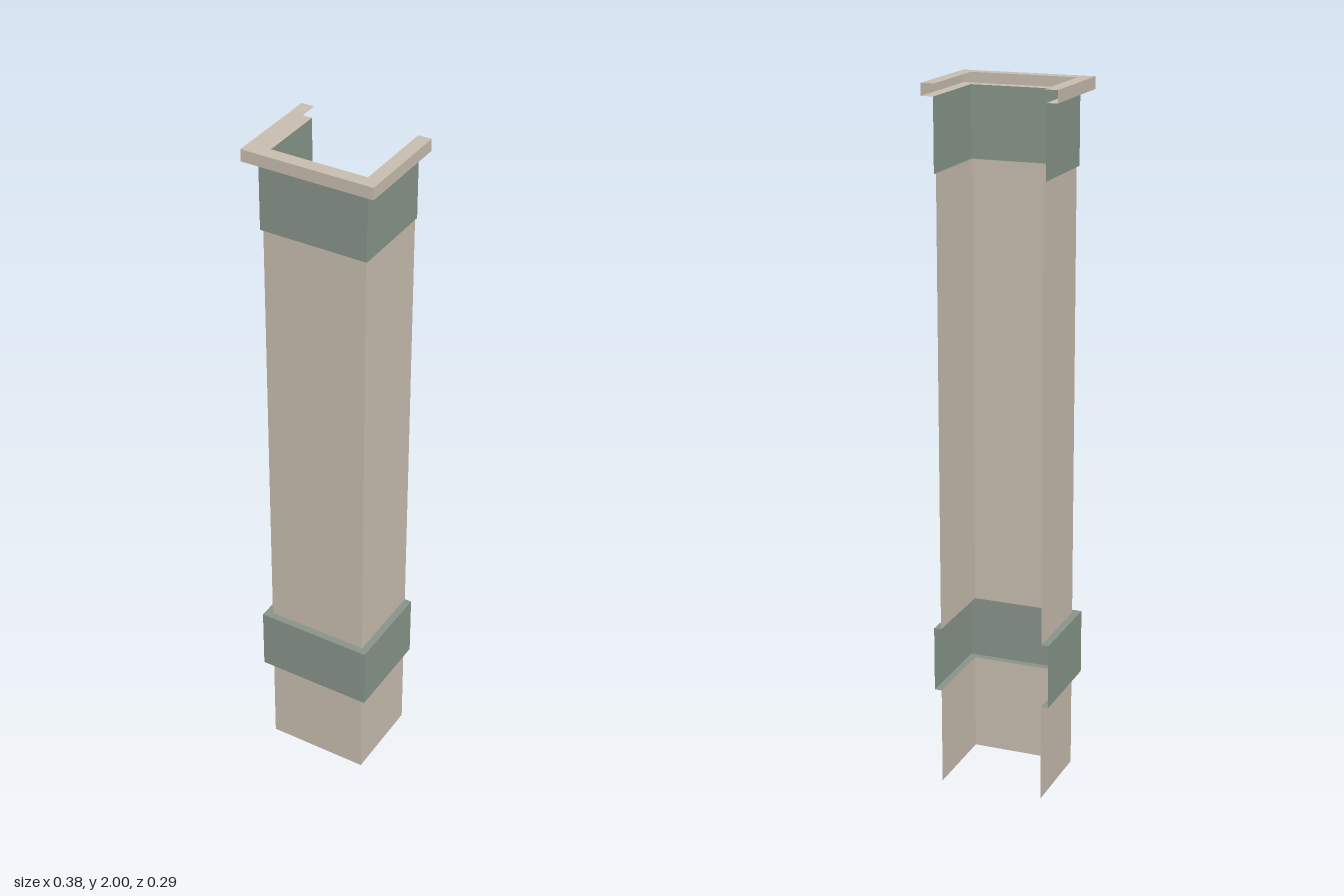
import * as THREE from 'three';

const BACK = -0.144;
const tan = new THREE.MeshStandardMaterial({ color: 0xc8beb0, side: THREE.DoubleSide });
tan.name = 'warm stone';
const green = new THREE.MeshStandardMaterial({ color: 0x88958a, side: THREE.DoubleSide });
green.name = 'grey green';

// Three-sided path, open at the back: half width, front depth, x shift
const SHAFT = [0.151, 0.107, -0.002];
const LOWER = [0.172, 0.128, -0.002];
const UPPER = [0.157, 0.113, -0.002];
const CAP = [0.19, 0.145, 0];
const CAP_INNER = [0.152, 0.107, 0];

function pathAt([w, front, shift], y) {
  return [[-w, BACK], [-w, front], [w, front], [w, BACK]]
    .map(([x, z]) => [x + shift, y, z]);
}

// Thin shell swept around the path, with the profile listed as [outline, height]
function shell(name, material, profile) {
  const rings = profile.map(([outline, y]) => pathAt(outline, y));
  const pos = [];
  for (let j = 0; j < rings.length - 1; j++) {
    for (let i = 0; i < 3; i++) {
      const a = rings[j][i], b = rings[j][i + 1];
      const c = rings[j + 1][i + 1], d = rings[j + 1][i];
      pos.push(...a, ...b, ...c, ...a, ...c, ...d);
    }
  }
  const geo = new THREE.BufferGeometry();
  geo.setAttribute('position', new THREE.Float32BufferAttribute(pos, 3));
  geo.computeVertexNormals();
  const mesh = new THREE.Mesh(geo, material);
  mesh.name = name;
  return mesh;
}

export function createModel() {
  const column = new THREE.Group();
  column.name = 'column';
  column.add(
    shell('base', tan, [[SHAFT, 0], [SHAFT, 0.284]]),
    // Lower band with ledges above and below
    shell('lowerBand', green, [[SHAFT, 0.284], [LOWER, 0.284], [LOWER, 0.472], [SHAFT, 0.472]]),
    shell('shaft', tan, [[SHAFT, 0.472], [SHAFT, 1.764]]),
    shell('upperBand', green, [[SHAFT, 1.764], [UPPER, 1.764], [UPPER, 1.966]]),
    // Hollow cap: underside, rim and top strip
    shell('cap', tan, [[UPPER, 1.966], [CAP, 1.966], [CAP, 2], [CAP_INNER, 2]]),
  );
  return column;
}
